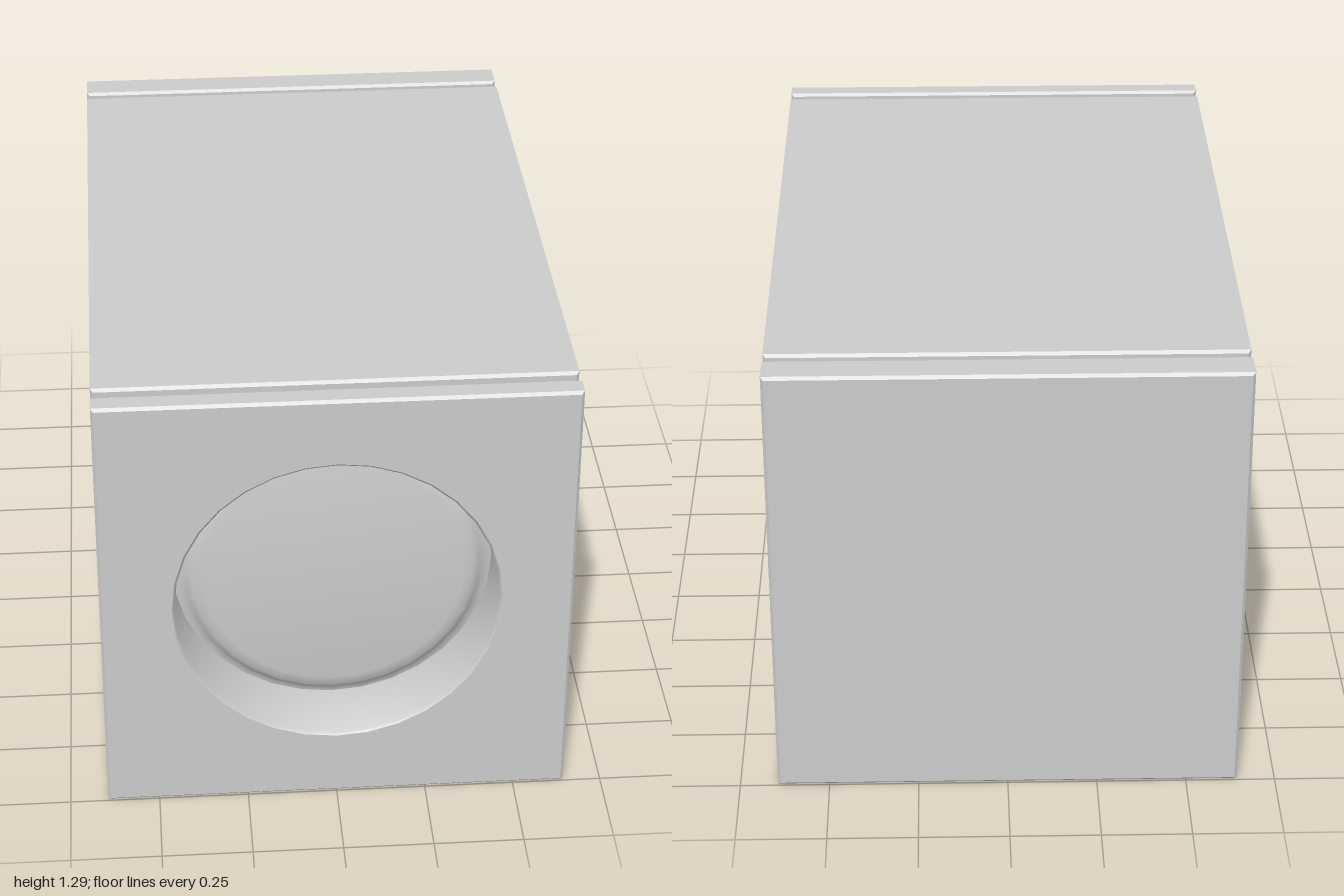
import * as THREE from 'three';
import { toCreasedNormals } from 'three/addons/utils/BufferGeometryUtils.js';

const HALF = 0.645; // half width of the square cabinet
const BEVEL = 0.008;
const RIM = 0.45;

export function createModel() {
  const group = new THREE.Group();
  group.name = 'cabinet';
  const material = new THREE.MeshStandardMaterial({ color: 0xcccccc });

  const add = (name, geometry) => {
    const mesh = new THREE.Mesh(geometry, material);
    mesh.name = name;
    mesh.position.y = HALF;
    group.add(mesh);
  };

  // Square shell: back panel, groove, body, groove, front panel
  const profile = [];
  const slab = (z0, z1) => profile.push(
    [HALF - BEVEL, z0], [HALF, z0 + BEVEL], [HALF, z1 - BEVEL], [HALF - BEVEL, z1]);
  const groove = (z0, z1) => profile.push([HALF - 0.025, z0], [HALF - 0.025, z1]);
  slab(-1, -0.9);
  groove(-0.9, -0.872);
  slab(-0.872, 0.9);
  groove(0.9, 0.935);
  slab(0.935, 1);
  const shell = new THREE.LatheGeometry(
    profile.map(([r, z]) => new THREE.Vector2(r * Math.SQRT2, z)), 4, Math.PI / 4);
  shell.rotateX(Math.PI / 2);
  add('groovedShell', toCreasedNormals(shell, 0.3));

  // Front face with a round opening
  const s = HALF - BEVEL;
  const face = new THREE.Shape([[-s, -s], [s, -s], [s, s], [-s, s]].map(p => new THREE.Vector2(...p)));
  face.holes.push(new THREE.Path().absarc(0, 0, RIM, 0, Math.PI * 2, true));
  const front = new THREE.ShapeGeometry(face, 16);
  front.translate(0, 0, 1);
  add('frontFace', front);

  // Plain back face
  const back = new THREE.PlaneGeometry(2 * s, 2 * s);
  back.rotateY(Math.PI);
  back.translate(0, 0, -1);
  add('backFace', back);

  // Recess wall and raised round disc with a soft edge
  const well = [
    [RIM, 1], [0.443, 0.993], [0.443, 0.8], [0.425, 0.805], [0.408, 0.828],
    [0.39, 0.844], [0.36, 0.85], [0, 0.85],
  ];
  const recess = new THREE.LatheGeometry(well.map(([r, z]) => new THREE.Vector2(r, z)), 32);
  recess.rotateX(Math.PI / 2);
  add('recessedDisc', toCreasedNormals(recess, 0.95));

  return group;
}
